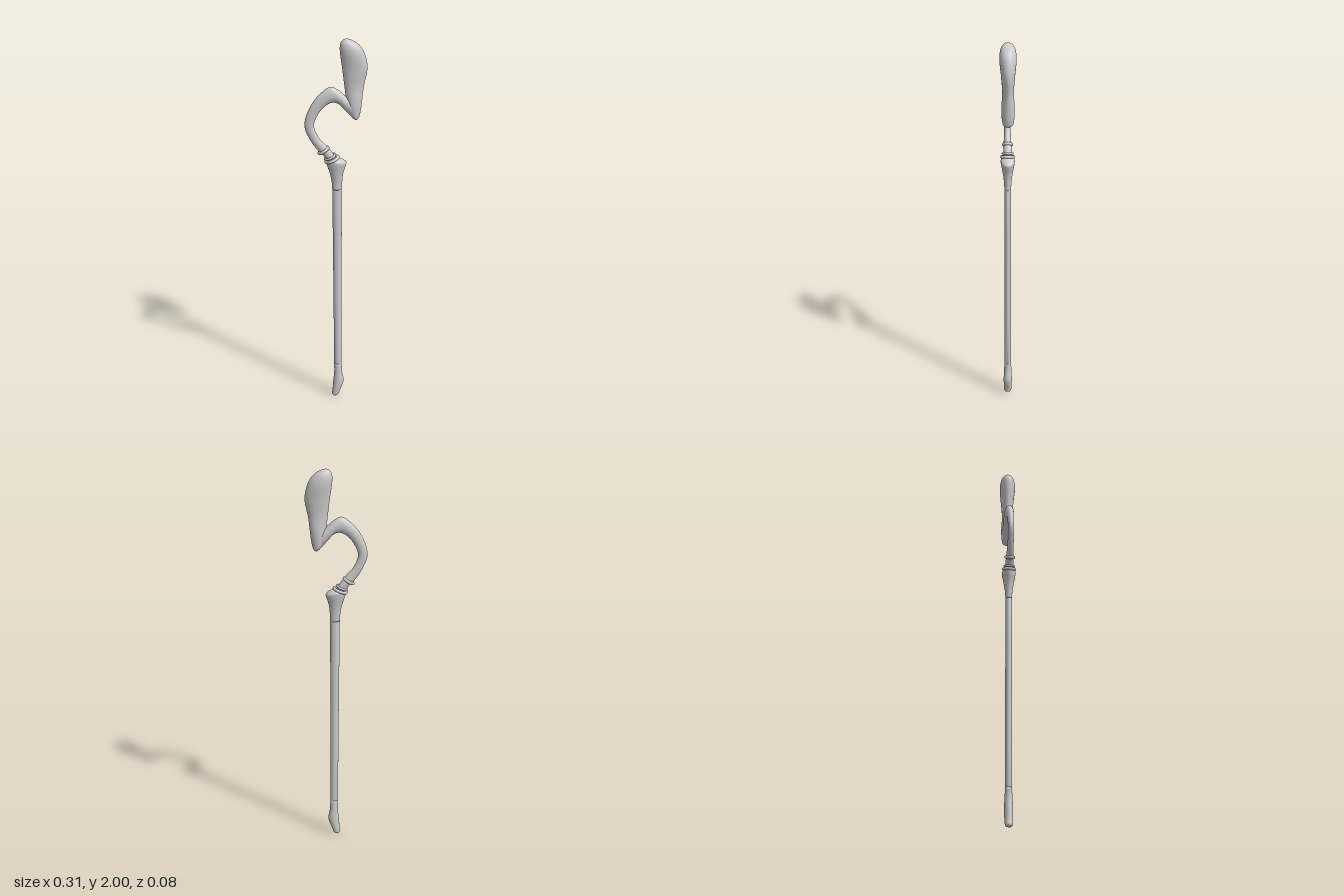
import * as THREE from 'three';

const material = new THREE.MeshStandardMaterial({ color: 0xcccccc });

// Lofts elliptical sections. Each section: [leftX, leftY, rightX, rightY, half depth in z].
function loft(name, sections, perSpan = 5, sides = 20) {
  const left = new THREE.CatmullRomCurve3(sections.map(s => new THREE.Vector3(s[0], s[1], s[4])));
  const right = new THREE.CatmullRomCurve3(sections.map(s => new THREE.Vector3(s[2], s[3], s[4])));
  const steps = (sections.length - 1) * perSpan;
  const positions = [], index = [];
  for (let i = 0; i <= steps; i++) {
    const l = left.getPoint(i / steps), r = right.getPoint(i / steps);
    const depth = Math.max(0.001, (l.z + r.z) / 2);
    for (let j = 0; j < sides; j++) {
      const a = (j / sides) * Math.PI * 2, k = (1 + Math.cos(a)) / 2;
      positions.push(l.x + (r.x - l.x) * k, l.y + (r.y - l.y) * k, depth * Math.sin(a));
    }
  }
  for (let i = 0; i < steps; i++) {
    for (let j = 0; j < sides; j++) {
      const n = (j + 1) % sides, a = i * sides + j, b = a + sides;
      const c = i * sides + n, d = c + sides;
      index.push(a, b, c, c, b, d);
    }
  }
  // End caps
  for (let j = 1; j < sides - 1; j++) {
    const e = steps * sides;
    index.push(0, j, j + 1, e, e + j + 1, e + j);
  }
  const geometry = new THREE.BufferGeometry();
  geometry.setAttribute('position', new THREE.Float32BufferAttribute(positions, 3));
  geometry.setIndex(index);
  geometry.computeVertexNormals();
  const mesh = new THREE.Mesh(geometry, material);
  mesh.name = name;
  return mesh;
}

// Elliptical ring around the neck; tilt leans its axis towards -x.
function ring(name, x, y, tilt, rx, rz, tube) {
  const geometry = new THREE.TorusGeometry(rx, tube, 10, 28);
  geometry.rotateX(Math.PI / 2);
  geometry.scale(1, 1, (rz + tube) / (rx + tube));
  geometry.rotateZ(tilt);
  geometry.translate(x, y, 0);
  const mesh = new THREE.Mesh(geometry, material);
  mesh.name = name;
  return mesh;
}

export function createModel() {
  const group = new THREE.Group();
  group.name = 'staff';

  // Foot with a slanted, swollen tip
  group.add(loft('foot', [
    [-0.012, 0, 0.004, 0.001, 0.012],
    [-0.02, 0.008, 0.014, 0.008, 0.018],
    [-0.018, 0.03, 0.022, 0.03, 0.02],
    [-0.014, 0.09, 0.042, 0.09, 0.022],
    [-0.009, 0.14, 0.034, 0.14, 0.02],
    [-0.009, 0.2, 0.031, 0.2, 0.017],
  ]));

  // Long straight shaft
  group.add(loft('shaft', [
    [-0.009, 0.2, 0.031, 0.2, 0.017],
    [-0.013, 0.7, 0.03, 0.7, 0.017],
    [-0.018, 1.22, 0.031, 1.22, 0.017],
  ], 2));

  // Flared socket on top of the shaft
  group.add(loft('socket', [
    [-0.018, 1.22, 0.031, 1.22, 0.017],
    [-0.021, 1.26, 0.032, 1.26, 0.019],
    [-0.031, 1.31, 0.038, 1.31, 0.026],
    [-0.044, 1.35, 0.051, 1.35, 0.033],
    [-0.047, 1.365, 0.053, 1.363, 0.035],
    [-0.045, 1.374, 0.044, 1.374, 0.035],
    [-0.035, 1.382, 0.012, 1.393, 0.024],
  ]));

  // Rings where the neck enters the socket
  group.add(ring('lowerRing', -0.02, 1.383, 0.37, 0.032, 0.029, 0.008));
  group.add(ring('middleRing', -0.029, 1.397, 0.42, 0.027, 0.024, 0.006));
  group.add(ring('upperRing', -0.062, 1.432, 0.57, 0.026, 0.02, 0.008));

  // Curved neck: sweeps out, over and down into the head
  group.add(loft('neck', [
    [-0.038, 1.36, 0.006, 1.38, 0.022],
    [-0.058, 1.4, -0.018, 1.42, 0.021],
    [-0.085, 1.428, -0.045, 1.455, 0.019],
    [-0.125, 1.485, -0.085, 1.503, 0.016],
    [-0.155, 1.565, -0.108, 1.565, 0.016],
    [-0.133, 1.65, -0.088, 1.622, 0.018],
    [-0.085, 1.72, -0.056, 1.662, 0.021],
    [-0.025, 1.762, -0.02, 1.681, 0.024],
    [0.012, 1.744, 0.01, 1.675, 0.026],
    [0.05, 1.712, 0.04, 1.645, 0.028],
    [0.075, 1.7, 0.075, 1.608, 0.028],
    [0.1, 1.69, 0.1, 1.6, 0.022],
  ]));

  // Tall paddle-like head
  group.add(loft('head', [
    [0.094, 1.589, 0.102, 1.588, 0.008],
    [0.078, 1.603, 0.112, 1.598, 0.024],
    [0.058, 1.64, 0.122, 1.635, 0.031],
    [0.05, 1.69, 0.129, 1.69, 0.032],
    [0.042, 1.76, 0.137, 1.76, 0.028],
    [0.031, 1.85, 0.154, 1.855, 0.034],
    [0.02, 1.93, 0.143, 1.915, 0.041],
    [0.019, 1.965, 0.128, 1.95, 0.039],
    [0.027, 1.988, 0.105, 1.976, 0.031],
    [0.042, 1.999, 0.075, 1.994, 0.015],
    [0.053, 2, 0.058, 1.999, 0.003],
  ], 5, 28));

  return group;
}
